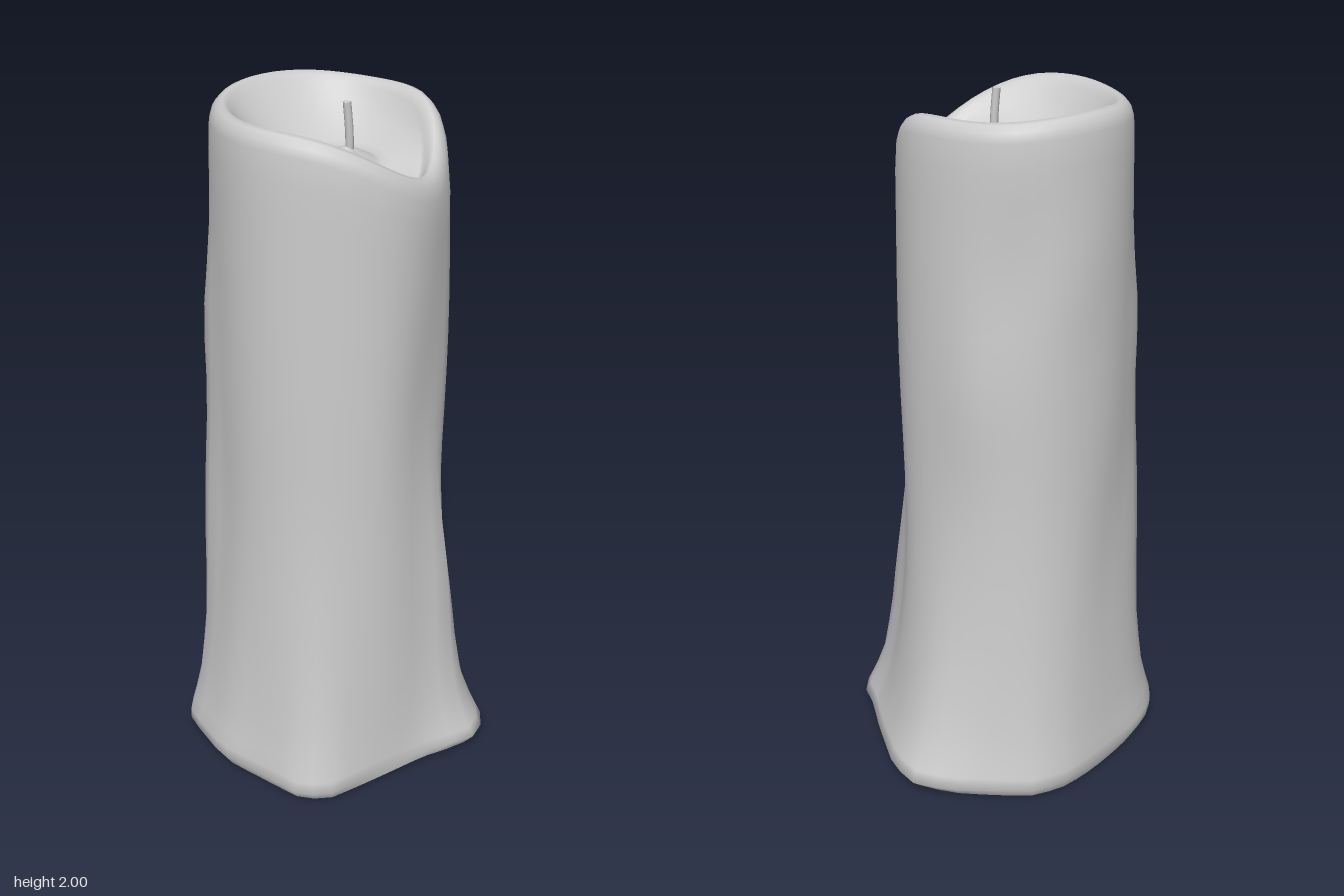
import * as THREE from 'three';

const SEG = 48, CX = -0.035, CZ = -0.01;

// Outline of the spread foot, as x,z corners
const FOOT = [
  [0.44, -0.03], [0.37, 0.15], [0.32, 0.26], [0.295, 0.34], [0.225, 0.4], [0.16, 0.395], [0.09, 0.365],
  [0, 0.345], [-0.1, 0.335], [-0.29, 0.325], [-0.37, 0.275], [-0.41, 0.1], [-0.45, -0.03], [-0.43, -0.23],
  [-0.37, -0.3], [-0.27, -0.345], [-0.05, -0.39], [0.06, -0.405], [0.17, -0.385], [0.38, -0.22], [0.445, -0.13],
].map(([x, z]) => ({ a: Math.atan2(z - CZ, x - CX), r: Math.hypot(x - CX, z - CZ) })).sort((p, q) => p.a - q.a);

// How far the wax spreads towards the foot outline, as height, amount
const SPREAD = [[0, 0.74], [0.045, 1], [0.12, 0.84], [0.2, 0.69], [0.4, 0.45], [0.6, 0.27], [0.8, 0.12], [1, 0.05], [1.4, 0.03], [2, 0]];

const lerp = THREE.MathUtils.lerp;
const wrap = (a) => Math.atan2(Math.sin(a), Math.cos(a));
const bell = (d, w) => Math.exp(-(d * d) / (w * w));

// The front right flares more abruptly than the other sides
function spreadAt(a, y) {
  const i = Math.max(1, SPREAD.findIndex((s) => s[0] >= y));
  const [y0, s0] = SPREAD[i - 1], [y1, s1] = SPREAD[i];
  return lerp(s0, s1, (y - y0) / (y1 - y0)) ** (1 + 0.45 * Math.max(0, Math.cos(a - 0.8)));
}

// Distance from the axis to the straight-sided foot outline
function footRadius(angle) {
  const a = wrap(angle), n = FOOT.length;
  const i = Math.max(0, FOOT.findIndex((p) => p.a > a));
  const p = FOOT[(i + n - 1) % n], q = FOOT[i];
  return p.r * q.r * Math.sin(q.a - p.a) / (p.r * Math.sin(a - p.a) + q.r * Math.sin(q.a - a));
}

// The rim sags on the front right, steeper on one side
function sag(a) {
  const d = wrap(a - 1.1);
  return bell(d, d > 0 ? 0.8 : 0.62);
}
const rimHeight = (a) => 1.995 - 0.008 * (1 + Math.sin(a)) - 0.142 * sag(a) + 0.006 * Math.sin(3 * a);
const rimRadius = (a) => 1 / Math.hypot(Math.cos(a) / 0.306, Math.sin(a) / 0.318) + 0.003 * Math.sin(5 * a);

// Drips and dents in the wall: angle, angular width, height, vertical width, depth
const LUMPS = [
  [-2.5, 0.2, 0.85, 0.4, 0.035],
  [-2.45, 0.16, 1.4, 0.2, 0.02],
  [-0.55, 0.25, 1.25, 0.2, 0.014],
  [-1.5, 0.3, 1.6, 0.12, 0.008],
  [0.6, 0.22, 0.6, 0.35, -0.014],
  [1.3, 0.35, 1.15, 0.35, -0.02],
  [0.8, 0.15, 1.4, 0.4, 0.01],
  [-0.9, 0.25, 1.6, 0.2, -0.014],
  [-1.9, 0.25, 0.7, 0.3, -0.01],
];

function outerRadius(a, y) {
  let r = lerp(rimRadius(a), footRadius(a), spreadAt(a, y)) + 0.008 * bell(y - 1.1, 0.6);
  for (const [la, lw, ly, lh, depth] of LUMPS) r += depth * bell(wrap(a - la), lw) * bell(y - ly, lh);
  // Front drip slants towards the foot corner
  return r + 0.032 * bell(wrap(a - 0.92 - 0.18 * y), 0.16) * bell(y - 0.6, 0.33);
}

// Joins closed rings of points into one smooth skin; point(i, a) gives a corner
function skin(ringCount, point) {
  const pos = [], index = [];
  for (let i = 0; i < ringCount; i++) {
    for (let j = 0; j < SEG; j++) {
      const a = (j / SEG) * Math.PI * 2;
      const [r, y, cx = CX, cz = CZ] = point(i, a);
      pos.push(cx + r * Math.cos(a), y, cz + r * Math.sin(a));
      if (i === ringCount - 1) continue;
      const k = (j + 1) % SEG, b = i * SEG, t = b + SEG;
      index.push(b + j, t + j, b + k, b + k, t + j, t + k);
    }
  }
  const g = new THREE.BufferGeometry();
  g.setAttribute('position', new THREE.Float32BufferAttribute(pos, 3));
  g.setIndex(index);
  g.computeVertexNormals();
  return g;
}

const footHeight = (a) => 0.01 - 0.01 * Math.sin(a - 2.4);

export function createModel() {
  const group = new THREE.Group();
  const wax = new THREE.MeshStandardMaterial({ color: 0xcccccc });
  const add = (name, geometry) => {
    const mesh = new THREE.Mesh(geometry, wax);
    mesh.name = name;
    group.add(mesh);
  };

  // Wall rises from the foot, rolls over the rim and runs down into the melted bowl
  const wall = [0, 0.018, 0.035, 0.06, 0.1, 0.15, 0.2, 0.25, 0.3, 0.36, 0.42, 0.48, 0.54, 0.6, 0.66, 0.72, 0.78, 0.84, 0.9, 0.94];
  // Rim roll: inset from the outer radius, drop below the rim height
  const roll = [[0.002, 0.045], [0.01, 0.02], [0.024, 0.004], [0.038, 0], [0.052, 0.008], [0.064, 0.024]];
  // Bowl: share of the radius, share of the height from rim to floor
  const bowl = [[0.72, 0.3], [0.63, 0.54], [0.53, 0.75], [0.43, 0.91], [0.35, 1]];
  // Mound around the wick: shares of the radius
  const mound = [0.26, 0.16, 0.07, 0.001];
  add('candleBody', skin(wall.length + roll.length + bowl.length + mound.length, (i, a) => {
    const top = rimHeight(a), rr = rimRadius(a);
    if (i < wall.length) {
      const y = lerp(footHeight(a), top, wall[i]);
      return [outerRadius(a, y), y];
    }
    i -= wall.length;
    if (i < roll.length) return [rr - roll[i][0], top - roll[i][1] * (1 + 0.3 * sag(a))];
    i -= roll.length;
    const floor = 1.835 - 0.035 * sag(a);
    const s = i < bowl.length ? bowl[i][0] : mound[i - bowl.length];
    const y = i < bowl.length ? lerp(top - 0.024, floor, bowl[i][1]) : lerp(1.885, floor, s / 0.35);
    // Rings drift towards the wick as they shrink
    return [rr * s, y, CX + 0.018 * (1 - s), CZ + 0.058 * (1 - s)];
  }));

  // Flat underside
  add('candleBase', skin(2, (i, a) => (i ? [outerRadius(a, footHeight(a)), footHeight(a)] : [0.0001, 0.01])));

  // Slightly bent wick
  const path = new THREE.CatmullRomCurve3([
    new THREE.Vector3(-0.014, 1.86, 0.048), new THREE.Vector3(-0.016, 1.92, 0.049), new THREE.Vector3(-0.022, 1.998, 0.047),
  ]);
  add('wick', new THREE.TubeGeometry(path, 8, 0.011, 8));
  const tip = new THREE.CircleGeometry(0.011, 8);
  tip.rotateX(-Math.PI / 2).translate(-0.022, 1.998, 0.047);
  add('wickTip', tip);

  return group;
}
